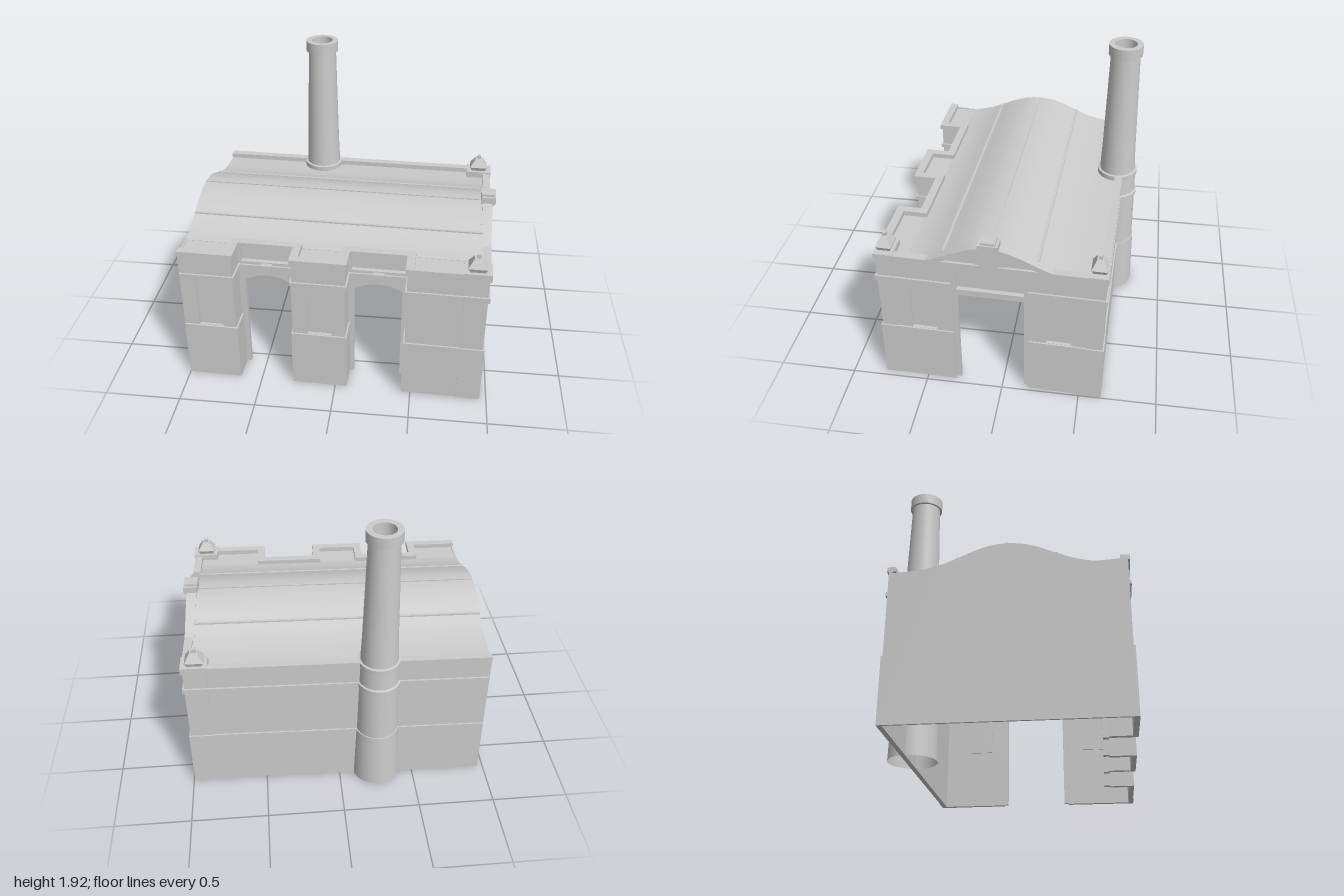
import * as THREE from 'three';
import { toCreasedNormals } from 'three/addons/utils/BufferGeometryUtils.js';

const mat = new THREE.MeshStandardMaterial({ color: 0xcccccc, side: THREE.DoubleSide });

// wall faces
const L = -0.98, R = 0.962, F = 0.745, B = -0.655, REC = 0.59, MID = 0.045;
const DOOR_F = 0.285, DOOR_B = -0.195;

export function createModel() {
  const model = new THREE.Group();
  const house = new THREE.Group();
  house.name = 'boilerHouse';
  house.rotation.y = -0.0265;
  model.add(house);

  const add = (name, geo) => {
    const m = new THREE.Mesh(toCreasedNormals(geo, 0.5), mat);
    m.name = name;
    house.add(m);
    return m;
  };
  // box from its limits
  const box = (name, x0, x1, y0, y1, z0, z1) => {
    const m = add(name, new THREE.BoxGeometry(x1 - x0, y1 - y0, z1 - z0));
    m.position.set((x0 + x1) / 2, (y0 + y1) / 2, (z0 + z1) / 2);
    return m;
  };
  const extrude = (shape, depth) =>
    new THREE.ExtrudeGeometry(shape, { depth, bevelEnabled: false, curveSegments: 10 });

  // shift a right-angled wall line outwards
  const offset = (path, o) => path.map(([x, z], i) => {
    const n = new THREE.Vector2();
    for (const [a, b] of [[i - 1, i], [i, i + 1]]) {
      if (a < 0 || b >= path.length) continue;
      const dx = Math.sign(path[b][0] - path[a][0]), dz = Math.sign(path[b][1] - path[a][1]);
      if (n.x === 0 && dz) n.x = -dz;
      if (n.y === 0 && dx) n.y = dx;
    }
    return new THREE.Vector2(x + n.x * o, -(z + n.y * o));
  });
  // course of masonry that follows a wall line
  const course = (name, path, y0, y1, out, inset) => {
    const shape = new THREE.Shape([...offset(path, out), ...offset(path, -inset).reverse()]);
    const g = extrude(shape, y1 - y0);
    g.rotateX(-Math.PI / 2);
    add(name, g).position.y = y0;
  };
  // outline with an optional arched top
  const arch = (P, u0, u1, y0, spring, top) => {
    const s = new P();
    s.moveTo(u0, y0);
    s.lineTo(u0, spring);
    if (top > spring) s.quadraticCurveTo((u0 + u1) / 2, 2 * top - spring, u1, spring);
    else s.lineTo(u1, spring);
    s.lineTo(u1, y0);
    s.closePath();
    return s;
  };
  const rect = (P, u0, u1, y0, y1) => arch(P, u0, u1, y0, y1, y1);
  // upright wall slab, facing front or (side = true, u = -z) facing right
  const slab = (name, shape, face, depth, side = false) => {
    const g = extrude(shape, depth);
    g.translate(0, 0, face - depth);
    if (side) g.rotateY(Math.PI / 2);
    return add(name, g);
  };
  // wall with a doorway cut up from the floor
  const doorWall = (u0, u1, y1, d0, d1, spring, top) => {
    const s = new THREE.Shape();
    s.moveTo(u0, 0);
    s.lineTo(d0, 0);
    s.lineTo(d0, spring);
    if (top > spring) s.quadraticCurveTo((d0 + d1) / 2, 2 * top - spring, d1, spring);
    else s.lineTo(d1, spring);
    s.lineTo(d1, 0);
    s.lineTo(u1, 0);
    s.lineTo(u1, y1);
    s.lineTo(u0, y1);
    s.closePath();
    return s;
  };

  // wall lines
  const pier1 = [[L, F], [-0.635, F], [-0.635, REC]];
  const pier2 = [[-0.255, REC], [-0.255, F], [0.085, F], [0.085, REC]];
  const pier3 = [[0.47, REC], [0.47, F], [R, F], [R, DOOR_F]];
  const rear = [[R, DOOR_B], [R, B], [L, B]];
  const front = [...pier1, ...pier2, ...pier3];

  // plinths, string course and cornice
  for (const p of [pier1, pier2, pier3, rear]) course('plinth', p, 0, 0.41, 0.011, 0.02);
  for (const p of [front, rear]) course('stringCourse', p, 0.79, 0.815, 0.012, 0.01);
  course('cornice', [...front, ...rear], 0.95, 0.982, 0.012, 0.04);

  // front piers with arched niches
  const nichedWall = (name, u0, u1, n0, n1, face, side) => {
    const s = rect(THREE.Shape, u0, u1, 0.41, 0.955);
    s.holes.push(arch(THREE.Path, n0, n1, 0.412, 0.73, 0.765));
    slab(name, s, face, 0.02, side);
    slab(name + 'Niche', rect(THREE.Shape, n0 - 0.01, n1 + 0.01, 0.41, 0.78), face - 0.02, 0.008, side);
  };
  nichedWall('leftPier', L, -0.635, -0.88, -0.72, F, false);
  nichedWall('middlePier', -0.255, 0.085, -0.16, 0, F, false);
  box('rightPier', 0.47, R, 0.41, 0.955, F - 0.02, F);
  for (const [x, s] of [[-0.635, -1], [-0.255, 1], [0.085, -1], [0.47, 1]])
    box('pierReturn', Math.min(x, x + s * 0.02), Math.max(x, x + s * 0.02), 0.41, 0.955, REC - 0.03, F - 0.001);

  // recessed bays: arched doorway, window panel, keystone
  for (const [x0, x1, d0, d1] of [[-0.635, -0.255, -0.595, -0.295], [0.085, 0.47, 0.125, 0.435]]) {
    const s = doorWall(x0, x1, 0.955, d0, d1, 0.69, 0.735);
    s.holes.push(rect(THREE.Path, x0 + 0.02, x1 - 0.02, 0.835, 0.94));
    slab('bayWall', s, REC, 0.035);
    box('bayWindow', x0, x1, 0.82, 0.95, REC - 0.04, REC - 0.03);
    const c = (d0 + d1) / 2;
    box('keystone', c - 0.037, c + 0.037, 0.79, 0.828, REC, REC + 0.032);
    box('keystoneFoot', c - 0.025, c + 0.025, 0.765, 0.79, REC, REC + 0.022);
  }

  // right wall with niches, doorway and transom (u = -z)
  nichedWall('rightWallFront', -F, -DOOR_F, -0.555, -0.395, R, true);
  nichedWall('rightWallBack', -DOOR_B, -B, 0.305, 0.465, R, true);
  const door = doorWall(-DOOR_F, -DOOR_B, 0.955, -0.255, 0.165, 0.715, 0.715);
  door.holes.push(rect(THREE.Path, -0.255, 0.165, 0.765, 0.89));
  slab('doorSurround', door, R - 0.012, 0.03, true);
  box('transom', R - 0.045, R - 0.035, 0.75, 0.9, DOOR_B, DOOR_F);
  box('transomSill', R - 0.03, R - 0.002, 0.75, 0.767, -0.165, 0.255);

  // back wall
  box('backWall', L, R, 0.41, 0.955, B, B + 0.02);

  // corner pilasters, caps and finials
  const corners = [
    [[0.82, F], [R, F], [R, 0.655]],
    [[R, -0.565], [R, B], [0.82, B]],
  ];
  const finial = [[0, 0], [0.045, 0], [0.06, 0.03], [0.025, 0.088], [0.014, 0.088], [0.014, 0.112], [0, 0.112]];
  for (const [i, p] of corners.entries()) {
    course('cornerPilaster', p, 0.41, 0.95, 0.006, 0);
    course('pilasterPlinth', p, 0, 0.41, 0.015, 0);
    course('pilasterBand', p, 0.785, 0.82, 0.018, 0);
    const z0 = i ? B - 0.016 : 0.64, z1 = i ? -0.55 : F + 0.016;
    box('cornerCap', 0.81, R + 0.018, 0.94, 0.99, z0, z1);
    const g = new THREE.LatheGeometry(finial.map(([r, y]) => new THREE.Vector2(r * Math.SQRT2, y)), 4);
    g.rotateY(Math.PI / 4);
    const f = add('finial', g);
    f.scale.z = 0.82;
    f.position.set(0.89, 0.988, (z0 + z1) / 2);
  }

  // bell-curved roof: height over distance from the ridge
  const half = [[0, 1.1], [0.1, 1.09], [0.2, 1.058], [0.29, 1.018], [0.4, 0.975], [0.52, 0.95], [0.7, 0.938]];
  const bell = [...half.slice(1).reverse().map(([d, y]) => [-d, y]), ...half];
  const curve = new THREE.SplineCurve(bell.map(([d, y]) => new THREE.Vector2(d - MID, y)));
  const roofTop = curve.getPoints(60).filter((p) => p.x > -0.585);
  const roof = new THREE.Shape([...roofTop, ...roofTop.map((p) => new THREE.Vector2(p.x, p.y - 0.015)).reverse()]);
  slab('roof', roof, 0.93, 0.93 - L, true);
  for (const [d, y] of [[-0.29, 1.018], [0, 1.1], [0.29, 1.018]])
    box('roofRib', L, 0.92, y - 0.01, y + 0.006, MID + d - 0.008, MID + d + 0.008);
  for (const [x0, x1] of [[L, -0.64], [-0.25, 0.08], [0.475, 0.95]])
    box('pierRoof', x0, x1, 0.935, 0.948, 0.56, F - 0.01);

  // blank left end wall, filled up to the roof
  const end = new THREE.Shape([new THREE.Vector2(-F, 0), new THREE.Vector2(-F, 0.96),
    ...roofTop, new THREE.Vector2(-B, 0.94), new THREE.Vector2(-B, 0)]);
  slab('leftWall', end, L + 0.012, 0.014, true);

  // right gable with a raised arched coping
  const gh = [[0, 1.115], [0.1, 1.1], [0.2, 1.063], [0.3, 1.017], [0.36, 0.992], [0.42, 0.972]];
  const gc = new THREE.SplineCurve([...gh.slice(1).reverse().map(([d, y]) => [-d, y]), ...gh]
    .map(([d, y]) => new THREE.Vector2(d - MID, y)));
  const gTop = gc.getPoints(40);
  slab('gable', new THREE.Shape([...gTop, new THREE.Vector2(0.42 - MID, 0.95),
    new THREE.Vector2(-0.42 - MID, 0.95)]), R - 0.005, 0.045, true);
  slab('gableCoping', new THREE.Shape([...gTop,
    ...gTop.map((p) => new THREE.Vector2(p.x * 0.96, Math.max(p.y - 0.03, 0.955))).reverse()]), R + 0.012, 0.065, true);
  for (const [w, o] of [[0.09, 0.002], [0.06, 0.012]])
    box('gableBlock', R - 0.02, R + o, 0.97, 1.08, MID - w, MID + w);
  box('gableOrnament', 0.9, 0.985, 1.08, 1.165, MID - 0.045, MID + 0.045);
  box('gableOrnamentRoll', 0.905, 0.995, 1.1, 1.15, MID - 0.062, MID + 0.062);

  // tapering chimney with collars and a hollow crown
  const stack = [[0.157, 0], [0.146, 0.41], [0.139, 0.41], [0.132, 0.785], [0.142, 0.79], [0.142, 0.815], [0.131, 0.82],
    [0.127, 0.945], [0.136, 0.95], [0.136, 0.982], [0.121, 0.985], [0.114, 1.15], [0.096, 1.845],
    [0.111, 1.845], [0.111, 1.918], [0.072, 1.918], [0.072, 1.75], [0, 1.75]];
  const chimney = add('chimney', new THREE.LatheGeometry(stack.map(([r, y]) => new THREE.Vector2(r, y)), 32));
  chimney.position.set(-0.267, 0, -0.623);

  return model;
}
